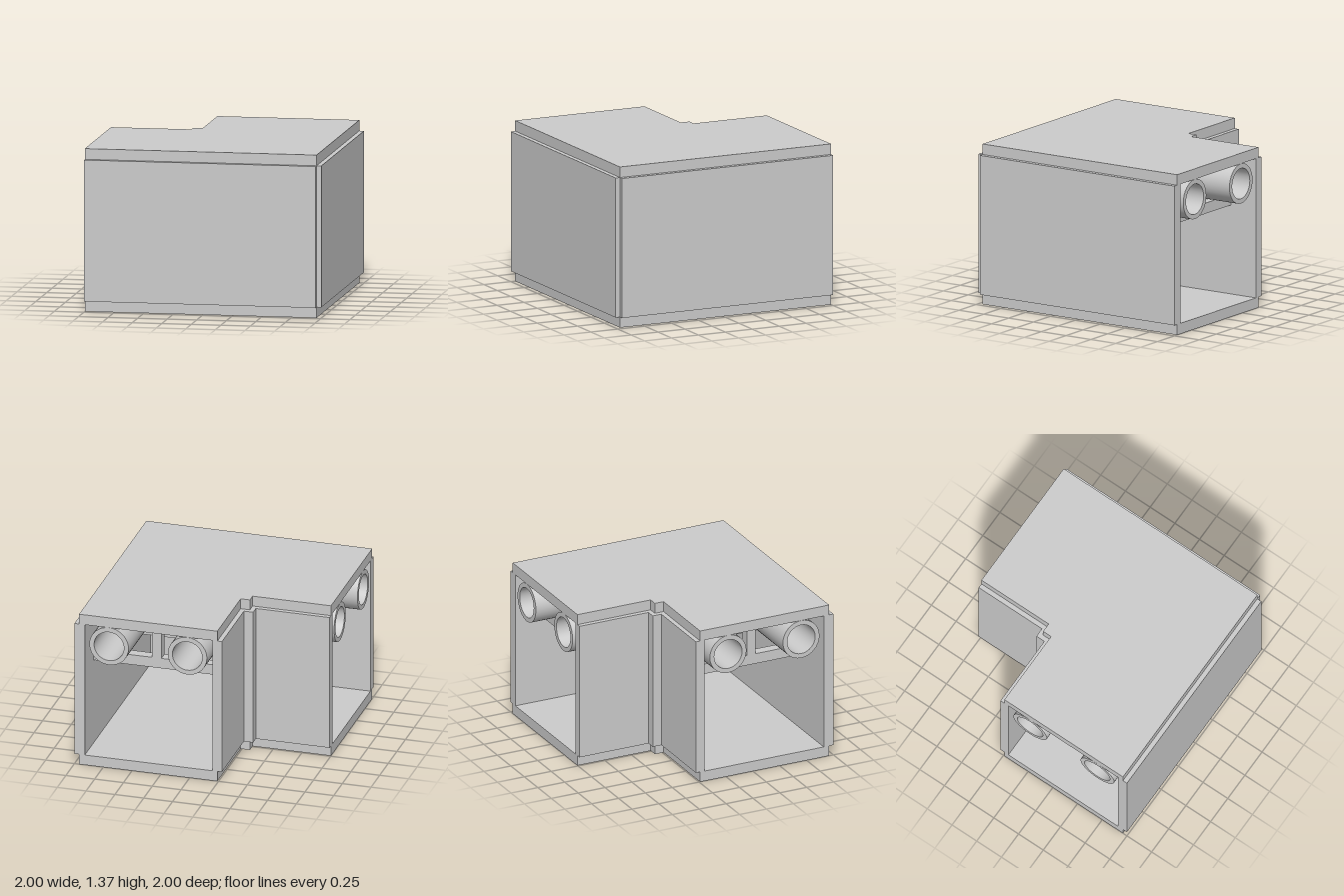
import * as THREE from 'three';
import { toCreasedNormals } from 'three/addons/utils/BufferGeometryUtils.js';

const material = new THREE.MeshStandardMaterial({ color: 0xcccccc });

function addMesh(group, name, geometry) {
  const mesh = new THREE.Mesh(geometry, material);
  mesh.name = name;
  group.add(mesh);
  return mesh;
}

// Upright prism from an [x, z] plan outline
function addPrism(group, name, plan, y0, y1) {
  const shape = new THREE.Shape(plan.map(([x, z]) => new THREE.Vector2(x, z)));
  const geometry = new THREE.ExtrudeGeometry(shape, { depth: y1 - y0, bevelEnabled: false });
  geometry.rotateX(Math.PI / 2).translate(0, y1, 0);
  return addMesh(group, name, geometry);
}

// Box given by its two opposite corners
function addBox(group, name, [x0, y0, z0], [x1, y1, z1]) {
  const mesh = addMesh(group, name, new THREE.BoxGeometry(x1 - x0, y1 - y0, z1 - z0));
  mesh.position.set((x0 + x1) / 2, (y0 + y1) / 2, (z0 + z1) / 2);
  return mesh;
}

export function createModel() {
  const model = new THREE.Group();
  model.name = 'cornerTunnel';
  const floorTop = 0.09, ceiling = 1.28, top = 1.37;
  const inner = -0.2, outer = 0.91;

  // Floor and roof slabs
  const slab = [[-1, 0.96], [0.96, 0.96], [0.96, -1], [-0.24, -1],
    [-0.24, -0.32], [-0.32, -0.32], [-0.32, -0.24], [-1, -0.24]];
  addPrism(model, 'floor', slab, 0, floorTop);
  addPrism(model, 'roof', slab, ceiling, top);

  // Outer wall with a notched corner, inner wall with a corner post
  addPrism(model, 'outerWall', [[-1, 1], [0.96, 1], [0.96, 0.96], [1, 0.96], [1, -1],
    [outer, -1], [outer, outer], [-1, outer]], floorTop, ceiling);
  addPrism(model, 'innerWall', [[-1, -0.28], [-0.36, -0.28], [-0.36, -0.36], [-0.28, -0.36],
    [-0.28, -1], [inner, -1], [inner, inner], [-1, inner]], floorTop, ceiling);

  // Junction box under the ceiling where the two passages meet
  addBox(model, 'junctionBox', [inner, 0.88, inner], [outer, ceiling, outer]);

  // Hollow pipes from each opening to the junction box
  const ring = new THREE.Shape().absarc(0, 0, 0.17, 0, Math.PI * 2);
  ring.holes.push(new THREE.Path().absarc(0, 0, 0.13, 0, Math.PI * 2, true));
  const pipe = toCreasedNormals(
    new THREE.ExtrudeGeometry(ring, { depth: 0.8, curveSegments: 16, bevelEnabled: false }), 0.6);
  for (const [label, offset] of [['inner', 0.02], ['outer', 0.7]]) {
    addMesh(model, label + 'BackPipe', pipe).position.set(offset, 1.11, -1);
    const side = addMesh(model, label + 'SidePipe', pipe);
    side.rotation.y = Math.PI / 2;
    side.position.set(-1, 1.11, offset);
  }

  // Pipe hangers: a cross bar below the pipes and a drop rod between them
  const near = -0.75, far = -0.66, low = 0.85, high = 0.94;
  addBox(model, 'backCrossBar', [inner, low, near], [outer, high, far]);
  addBox(model, 'backDropRod', [0.32, high, near], [0.4, ceiling, far]);
  addBox(model, 'sideCrossBar', [near, low, inner], [far, high, outer]);
  addBox(model, 'sideDropRod', [near, high, 0.32], [far, ceiling, 0.4]);

  return model;
}
